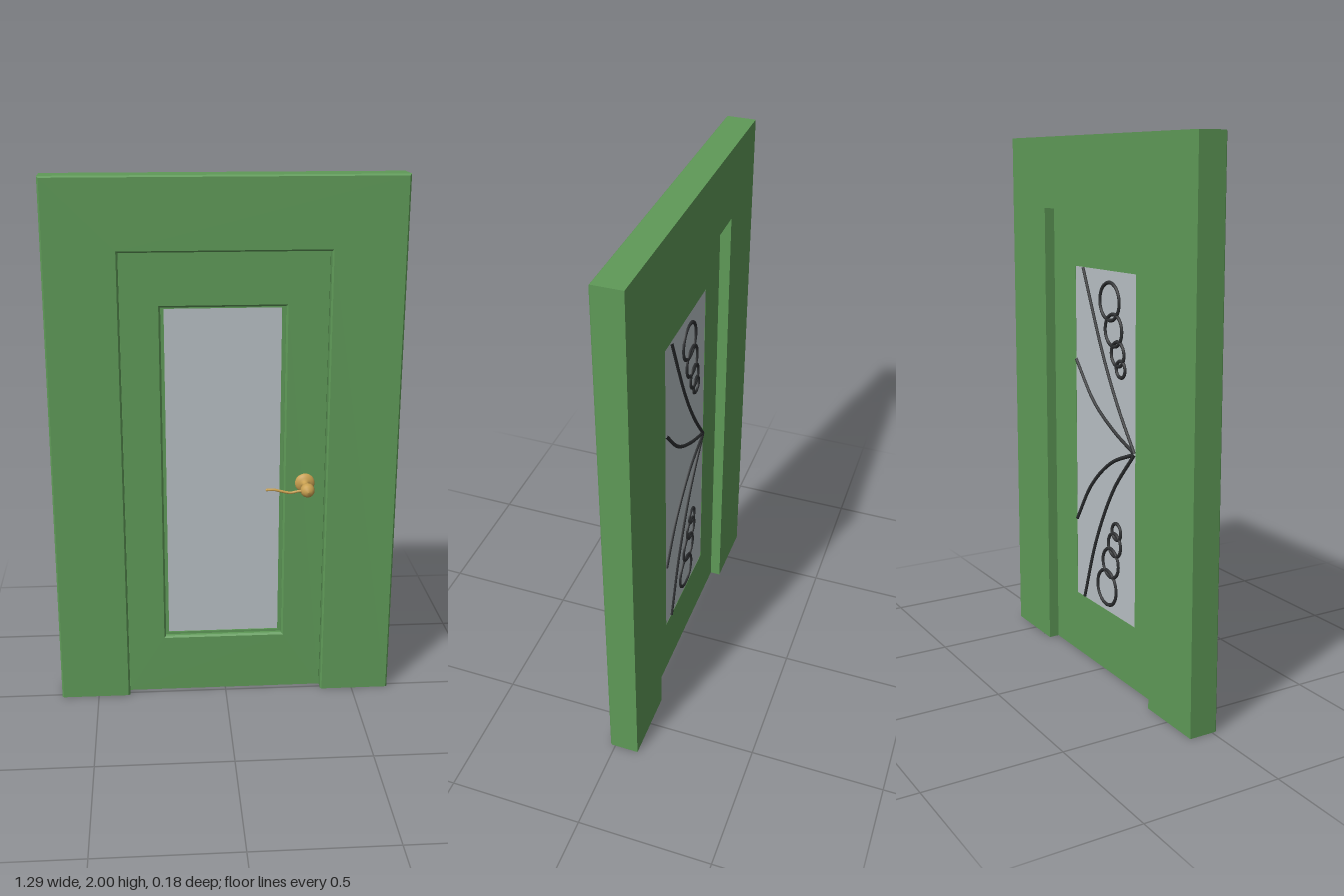
import * as THREE from 'three';

const green = new THREE.MeshStandardMaterial({ color: 0x5f9a58 });
const glassGrey = new THREE.MeshStandardMaterial({ color: 0xb8c0c4 });
const iron = new THREE.MeshStandardMaterial({ color: 0x2e3032 });
const brass = new THREE.MeshStandardMaterial({ color: 0xc9a050 });

const DOOR_BACK = -0.05, DOOR_FRONT = -0.02;

function add(parent, name, geometry, material, x = 0, y = 0, z = 0) {
  const mesh = new THREE.Mesh(geometry, material);
  mesh.name = name;
  mesh.position.set(x, y, z);
  parent.add(mesh);
  return mesh;
}

const corners = (x0, y0, x1, y1) => [[x0, y0], [x1, y0], [x1, y1], [x0, y1]].map(p => new THREE.Vector2(...p));

// Slab with an optional hole; front edges chamfered, back and floor edges square
function slab(points, hole, back, front, bevel) {
  const shape = new THREE.Shape(points);
  if (hole) shape.holes.push(new THREE.Path(hole));
  const geometry = new THREE.ExtrudeGeometry(shape, {
    depth: front - back - bevel, bevelEnabled: bevel > 0,
    bevelThickness: bevel, bevelSize: bevel, bevelOffset: -bevel, bevelSegments: 1,
  });
  const p = geometry.attributes.position;
  for (let i = 0; i < p.count; i++) {
    p.setZ(i, Math.max(p.getZ(i), 0));
    if (p.getY(i) < 0.01) p.setY(i, 0);
  }
  geometry.translate(0, 0, back);
  geometry.computeVertexNormals();
  return geometry;
}

function tube(points, radius) {
  const curve = new THREE.CatmullRomCurve3(points.map(([x, y, z = 0]) => new THREE.Vector3(x, y, z)));
  return new THREE.TubeGeometry(curve, 32, radius, 8);
}

export function createModel() {
  const model = new THREE.Group();
  model.name = 'door';

  // Surround with a doorway open to the floor
  const outline = [[-0.643, 0], [-0.378, 0], [-0.378, 1.737], [0.375, 1.737], [0.375, 0],
    [0.643, 0], [0.643, 2], [-0.643, 2]].map(p => new THREE.Vector2(...p));
  add(model, 'surround', slab(outline, null, -0.09, 0.02, 0.006), green);

  // Door leaf set back in the doorway, with a window opening
  const opening = corners(-0.232, 0.232, 0.22, 1.535);
  const sight = corners(-0.22, 0.242, 0.207, 1.528);
  add(model, 'doorLeaf', slab(corners(-0.384, 0, 0.381, 1.743), opening, DOOR_BACK, DOOR_FRONT, 0.007), green);
  add(model, 'glazingStop', slab(opening, sight, DOOR_BACK, -0.038, 0), green);

  // Glass near the back face
  add(model, 'glass', new THREE.BoxGeometry(0.429, 1.288, 0.006), glassGrey, -0.0065, 0.885, -0.046);

  // Ironwork on the back of the glass: four sweeping bars and two chains of rings
  const ironwork = new THREE.Group();
  ironwork.name = 'ironwork';
  ironwork.position.z = DOOR_BACK;
  model.add(ironwork);
  const hub = [-0.217, 0.893];
  const bars = [
    [[0.148, 1.526], [0, 1.214], [-0.107, 1.038], hub],
    [[0.204, 1.177], [0.07, 1.034], [-0.071, 0.951], hub],
    [[0.204, 0.549], [0.092, 0.708], [-0.05, 0.824], hub],
    [[0.148, 0.246], [0.056, 0.5], [-0.071, 0.727], hub],
  ];
  bars.forEach(bar => add(ironwork, 'bar', tube(bar, 0.007), iron));
  const rings = [
    [-0.043, 1.418, 0.068], [-0.071, 1.317, 0.058], [-0.1, 1.235, 0.044], [-0.121, 1.183, 0.03],
    [-0.022, 0.335, 0.068], [-0.05, 0.439, 0.056], [-0.078, 0.517, 0.044], [-0.092, 0.572, 0.031],
  ];
  for (const [x, y, r] of rings) add(ironwork, 'ring', new THREE.TorusGeometry(r, 0.007, 8, 32), iron, x, y);

  // Brass handle: rose, neck and egg-shaped knob turned as one profile
  const handle = new THREE.Group();
  handle.name = 'handle';
  handle.position.set(0.3, 0.86, DOOR_FRONT);
  model.add(handle);
  const profile = [[0.037, 0], [0.037, 0.004], [0.032, 0.01], [0.022, 0.014], [0.012, 0.019], [0.01, 0.045],
    [0.014, 0.052], [0.022, 0.063], [0.026, 0.076], [0.026, 0.086], [0.022, 0.098], [0.013, 0.106], [0, 0.109]];
  const turned = new THREE.LatheGeometry(profile.map(p => new THREE.Vector2(...p)), 32);
  add(handle, 'roseAndKnob', turned.rotateX(Math.PI / 2), brass);

  // Wavy lever reaching towards the window, with a rounded tip
  const lever = [[-0.01, 0], [-0.035, -0.001], [-0.065, -0.006], [-0.1, 0.001], [-0.125, 0.007], [-0.152, 0.007]];
  add(handle, 'lever', tube(lever, 0.005), brass, 0, 0, 0.086);
  add(handle, 'leverTip', new THREE.SphereGeometry(0.005, 12, 8), brass, -0.152, 0.007, 0.086);

  // Centre the depth on z as placed
  return model;
}
